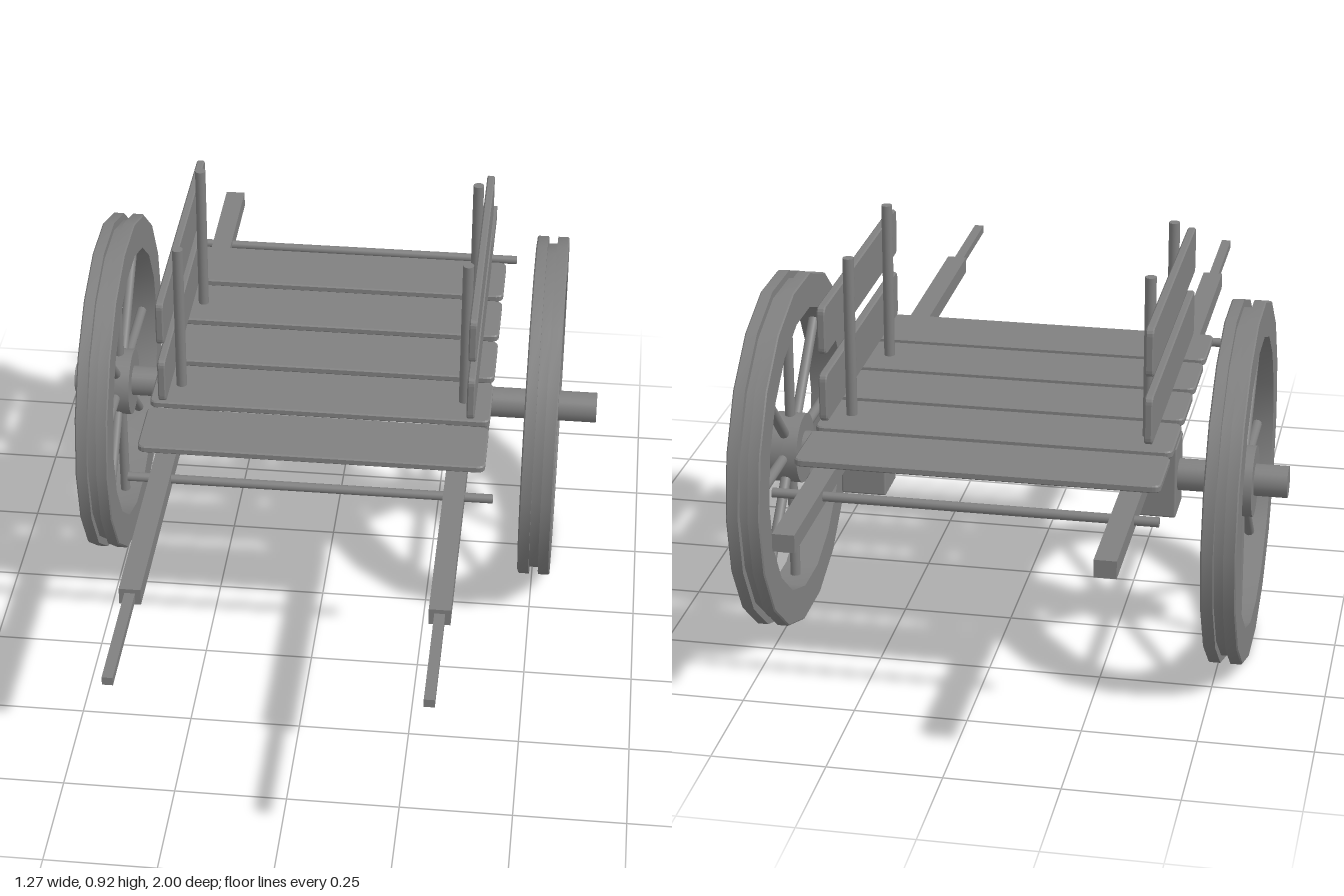
import * as THREE from 'three';
import { toCreasedNormals } from 'three/addons/utils/BufferGeometryUtils.js';
import { RoundedBoxGeometry } from 'three/addons/geometries/RoundedBoxGeometry.js';

const smooth = new THREE.MeshStandardMaterial({ color: 0x808080 });
const flat = new THREE.MeshStandardMaterial({ color: 0x808080, flatShading: true });

const AXLE_Y = 0.404, AXLE_Z = -0.272;

function add(parent, name, geometry, material, x = 0, y = 0, z = 0) {
  const mesh = new THREE.Mesh(geometry, material);
  mesh.name = name;
  mesh.position.set(x, y, z);
  parent.add(mesh);
}

// Cylinder lying along x
function rodX(radius, length, sides = 24) {
  return new THREE.CylinderGeometry(radius, radius, length, sides).rotateZ(Math.PI / 2);
}

// Board with rounded corners and softened edges, centred, thickness along z
function board(w, h, t, r = 0.014, bevel = 0.003) {
  const a = w / 2 - bevel, b = h / 2 - bevel;
  const s = new THREE.Shape();
  s.moveTo(-a + r, -b);
  s.lineTo(a - r, -b).quadraticCurveTo(a, -b, a, -b + r);
  s.lineTo(a, b - r).quadraticCurveTo(a, b, a - r, b);
  s.lineTo(-a + r, b).quadraticCurveTo(-a, b, -a, b - r);
  s.lineTo(-a, -b + r).quadraticCurveTo(-a, -b, -a + r, -b);
  return new THREE.ExtrudeGeometry(s, {
    depth: t - 2 * bevel, bevelEnabled: true, bevelThickness: bevel,
    bevelSize: bevel, bevelSegments: 1, curveSegments: 4,
  }).translate(0, 0, -t / 2 + bevel);
}

function makeWheel() {
  const wheel = new THREE.Group();
  wheel.name = 'wheel';

  // Eighteen-sided rim with a groove around the tread
  const R = 0.408, G = 0.391, I = 0.327, W = 0.038, g = 0.011, c = 0.003;
  const profile = [
    [I, -W], [R - c, -W], [R, -W + c], [R, -g], [G, -g], [G, g],
    [R, g], [R, W - c], [R - c, W], [I, W], [I, -W],
  ].map(([r, h]) => new THREE.Vector2(r, h));
  const rim = new THREE.LatheGeometry(profile, 18).rotateZ(Math.PI / 2);
  add(wheel, 'rim', toCreasedNormals(rim, 0.5), smooth);

  add(wheel, 'hub', rodX(0.08, 0.066), smooth);

  // Eight spokes
  for (let i = 0; i < 8; i++) {
    const geo = new THREE.CylinderGeometry(0.012, 0.012, 0.28, 12)
      .translate(0, 0.2, 0).rotateX(i * Math.PI / 4);
    add(wheel, 'spoke', geo, smooth);
  }
  return wheel;
}

export function createModel() {
  const cart = new THREE.Group();
  cart.name = 'cart';

  // Running gear
  add(cart, 'axle', rodX(0.036, 1.266), smooth, 0, AXLE_Y + 0.002, AXLE_Z);
  for (const side of [-1, 1]) {
    const wheel = makeWheel();
    wheel.position.set(-0.01 + side * 0.516, AXLE_Y - 0.002, AXLE_Z);
    cart.add(wheel);
  }

  const body = new THREE.Group();
  body.name = 'body';
  body.position.x = -0.006;
  cart.add(body);

  add(body, 'axleBeam', rodX(0.047, 0.6, 32), smooth, 0, 0.411, AXLE_Z);

  for (const side of [-1, 1]) {
    const x = side * 0.331;
    add(body, 'axleBlock', new RoundedBoxGeometry(0.103, 0.17, 0.104, 2, 0.005), smooth, x, 0.405, AXLE_Z);

    // Long shaft with a thinner handle at the front
    add(body, 'shaft', new THREE.BoxGeometry(0.047, 0.039, 1.715), flat, x, 0.51, -0.1425);
    add(body, 'handle', new THREE.BoxGeometry(0.023, 0.019, 0.3), flat, x, 0.51, 0.85);

    // Side rails: two posts carrying two boards
    for (const z of [-0.046, -0.412]) {
      add(body, 'post', new THREE.CylinderGeometry(0.0125, 0.0125, 0.42, 16), smooth, x, 0.71, z);
    }
    for (const y of [0.654, 0.808]) {
      add(body, 'sideBoard', board(0.678, 0.11, 0.018).rotateY(Math.PI / 2), flat, side * 0.353, y, -0.236);
    }
  }

  // Deck planks across the shafts
  for (let i = 0; i < 5; i++) {
    add(body, 'deckPlank', board(0.79, 0.163, 0.017).rotateX(-Math.PI / 2), flat, 0, 0.5455, -0.597 + i * 0.1835);
  }

  // Thin cross bars ahead of and behind the deck
  for (const z of [0.278, -0.763]) {
    add(body, 'crossBar', rodX(0.0105, 0.824, 16), smooth, 0.006, 0.512, z);
  }
  return cart;
}
